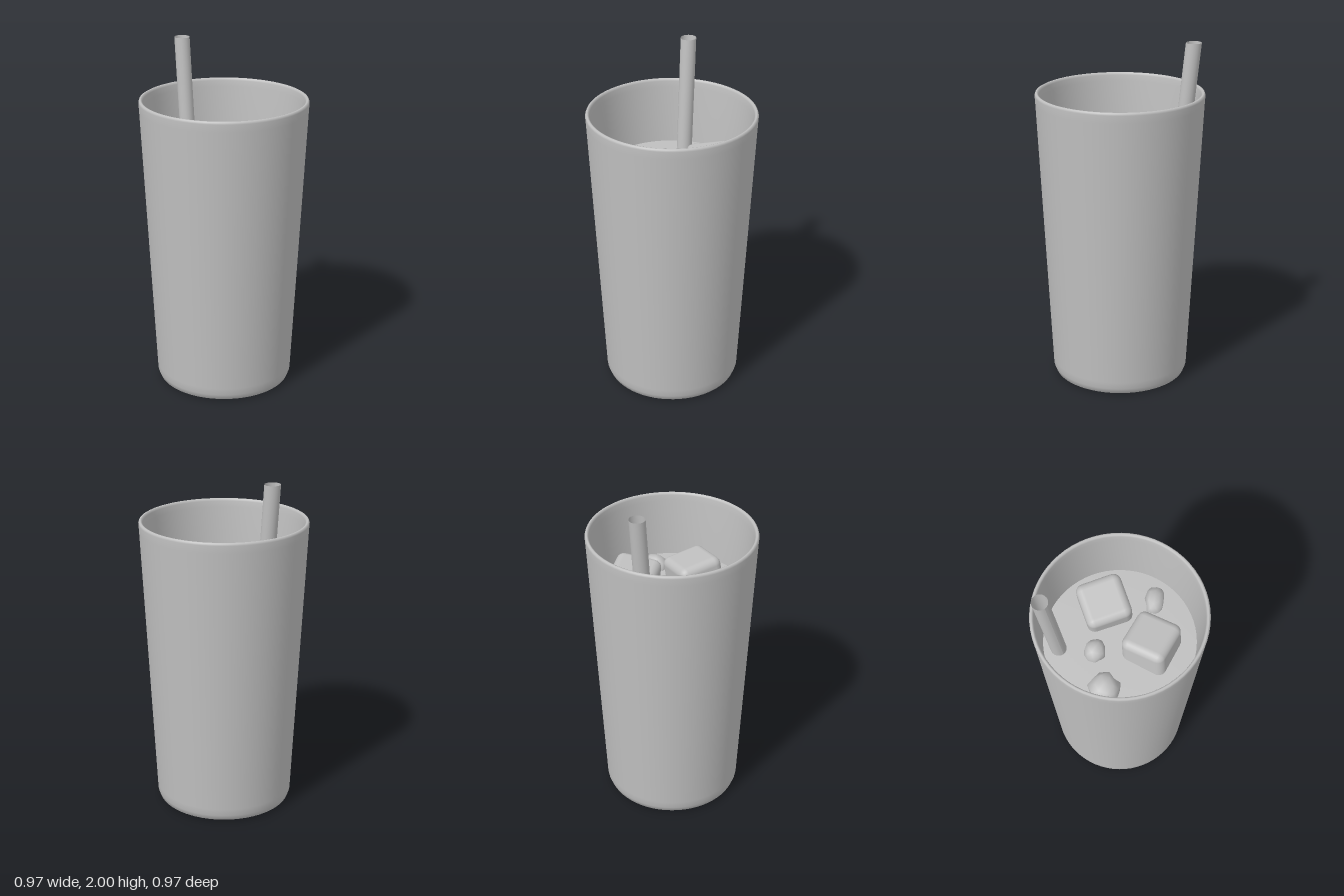
import * as THREE from 'three';
import { mergeVertices } from 'three/addons/utils/BufferGeometryUtils.js';
import { RoundedBoxGeometry } from 'three/addons/geometries/RoundedBoxGeometry.js';

const LIQUID_Y = 1.33;

// Small seeded generator returning values in -1..1
function seeded(seed) {
  let s = seed;
  return () => {
    s = (s * 16807) % 2147483647;
    return (s / 2147483647) * 2 - 1;
  };
}

function lathe(points, segments) {
  return new THREE.LatheGeometry(points.map(([r, y]) => new THREE.Vector2(r, y)), segments);
}

// Irregular smooth lump made by pushing the vertices of an icosahedron in and out
function lumpGeometry(radius, seed) {
  let g = new THREE.IcosahedronGeometry(radius, 1);
  g.deleteAttribute('uv');
  g.deleteAttribute('normal');
  g = mergeVertices(g, 1e-4);
  const rnd = seeded(seed);
  const p = g.attributes.position;
  const v = new THREE.Vector3();
  for (let i = 0; i < p.count; i++) {
    v.fromBufferAttribute(p, i).multiplyScalar(1 + 0.13 * rnd());
    p.setXYZ(i, v.x, v.y, v.z);
  }
  g.computeVertexNormals();
  return g;
}

export function createModel() {
  const group = new THREE.Group();
  const grey = new THREE.MeshStandardMaterial({ color: 0xc0c0c0, side: THREE.DoubleSide });
  grey.name = 'plain grey';

  function add(name, geometry, position = [0, 0, 0], rotation = [0, 0, 0]) {
    const mesh = new THREE.Mesh(geometry, grey);
    mesh.name = name;
    mesh.position.set(...position);
    mesh.rotation.set(...rotation, 'YXZ');
    group.add(mesh);
    return mesh;
  }

  // Tapered cup: outside, rounded rim and inside wall
  add('cup', lathe([
    [0, 0], [0.375, 0], [0.39, 0.008], [0.402, 0.04], [0.404, 0.08],
    [0.482, 1.66], [0.485, 1.705], [0.481, 1.716], [0.474, 1.72], [0.466, 1.717],
    [0.462, 1.705], [0.459, 1.67], [0.434, LIQUID_Y], [0.38, 0.06], [0, 0.05],
  ], 64));

  // Liquid filling the cup, softly shaded at its edge
  add('liquid', lathe([
    [0, 0.07], [0.37, 0.07], [0.432, LIQUID_Y - 0.01], [0.432, LIQUID_Y], [0.2, LIQUID_Y + 0.001], [0, LIQUID_Y + 0.001],
  ], 64));

  // Leaning hollow straw, cut level at both ends by shearing a cylinder
  const height = 0.75;
  const straw = new THREE.CylinderGeometry(0.045, 0.045, height, 20, 1, true);
  straw.applyMatrix4(new THREE.Matrix4().set(
    1, -0.08, 0, -0.352 + 0.08 * height / 2,
    0, 1, 0, 2 - height / 2,
    0, -0.06, 1, -0.217 + 0.06 * height / 2,
    0, 0, 0, 1));
  straw.computeVertexNormals();
  add('straw', straw);

  // Two large ice cubes, tilted in the liquid
  [
    { at: [0.06, 1.355, -0.215], turn: [0.12, -0.33, 0.08] },
    { at: [0.115, 1.355, 0.14], turn: [-0.12, 0.41, -0.12] },
  ].forEach(({ at, turn }, i) => {
    add('iceCube' + (i + 1), new RoundedBoxGeometry(0.265, 0.25, 0.265, 3, 0.045), at, turn);
  });

  // Small ice chips
  [
    { at: [-0.15, 1.34, -0.035], r: 0.066, size: [1, 0.9, 0.95], turn: 0.3, seed: 11 },
    { at: [-0.25, 1.34, 0.17], r: 0.09, size: [1.02, 0.8, 0.95], turn: 0.2, seed: 57 },
    { at: [0.303, 1.34, -0.065], r: 0.07, size: [1.2, 0.85, 0.8], turn: 0.75, seed: 93 },
  ].forEach(({ at, r, size, turn, seed }, i) => {
    add('iceChip' + (i + 1), lumpGeometry(r, seed), at, [0, turn, 0]).scale.set(...size);
  });

  return group;
}
